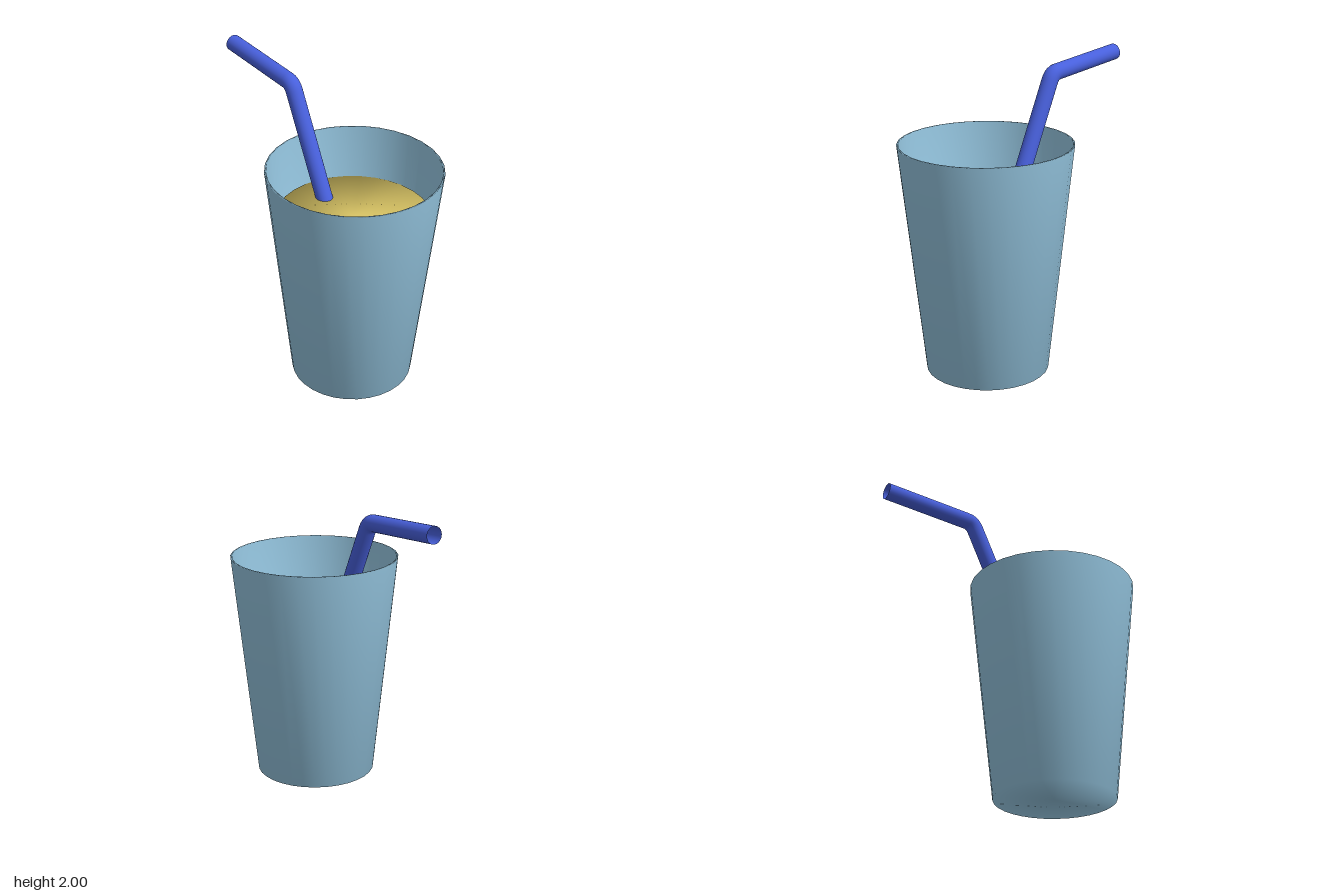
import * as THREE from 'three';

const CENTRE_X = 0.365;
const SIDES = 32;

function turned(name, profile, color) {
  const points = profile.map(([r, y]) => new THREE.Vector2(r, y));
  const mesh = new THREE.Mesh(
    new THREE.LatheGeometry(points, SIDES),
    new THREE.MeshStandardMaterial({ color, side: THREE.DoubleSide })
  );
  mesh.name = name;
  mesh.position.x = CENTRE_X;
  return mesh;
}

export function createModel() {
  const group = new THREE.Group();
  group.name = 'drinkWithStraw';

  // Tapered thin-walled glass: base, outer wall, rim, inner wall, floor
  group.add(turned('glass', [
    [0, 0], [0.41, 0], [0.573, 1.545], [0.56, 1.545], [0.4, 0.03], [0, 0.03],
  ], 0x93c3dd));

  // Drink filling the glass to about three quarters
  group.add(turned('drink', [
    [0, 0.04], [0.392, 0.04], [0.513, 1.19], [0, 1.19],
  ], 0xdcc766));

  // Hollow bent straw: leaning lower length, tight elbow, nearly level mouth end
  const v = (x, y) => new THREE.Vector3(x, y, 0);
  const path = new THREE.CurvePath();
  path.add(new THREE.LineCurve3(v(0.59, 0.07), v(-0.255, 1.845)));
  path.add(new THREE.QuadraticBezierCurve3(v(-0.255, 1.845), v(-0.278, 1.894), v(-0.32, 1.898)));
  path.add(new THREE.LineCurve3(v(-0.32, 1.898), v(-0.94, 1.944)));
  const straw = new THREE.Mesh(
    new THREE.TubeGeometry(path, 160, 0.056, 24),
    new THREE.MeshStandardMaterial({ color: 0x4860dc, side: THREE.DoubleSide })
  );
  straw.name = 'straw';
  group.add(straw);

  return group;
}
